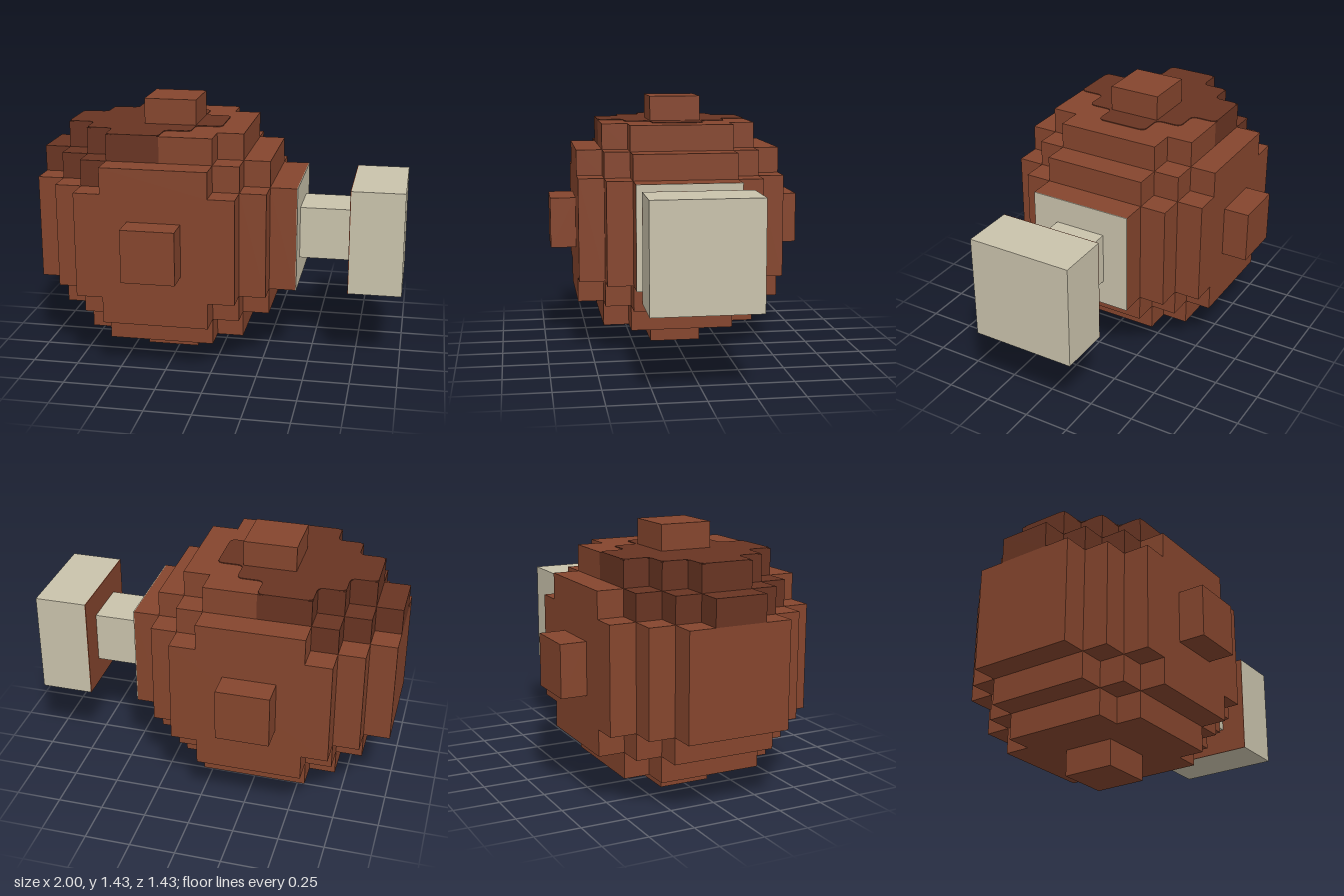
import * as THREE from 'three';

const U = 1 / 7;          // one block
const T = 0.03;           // thin plate thickness, in blocks
const CX = -2, CY = 5;    // centre of the ball, in blocks

export function createModel() {
  const group = new THREE.Group();
  const mat = (name, color) => new THREE.MeshStandardMaterial({ name, color });
  const brown = mat('roastBrown', 0x85452d);
  const dark = mat('darkGlaze', 0x683422);
  const bone = mat('bone', 0xc9c2ab);

  const add = (name, geometry, material) => {
    geometry.translate(CX, CY, 0);
    geometry.scale(U, U, U);
    const mesh = new THREE.Mesh(geometry, material);
    mesh.name = name;
    group.add(mesh);
  };

  // Box between two corners, measured from the ball centre
  const box = (name, material, [x0, x1], [y0, y1], [z0, z1]) => {
    const g = new THREE.BoxGeometry(x1 - x0, y1 - y0, z1 - z0);
    g.translate((x0 + x1) / 2, (y0 + y1) / 2, (z0 + z1) / 2);
    add(name, g, material);
  };

  // Stepped slab, mirrored in z; rows are [xMin, xMax, zReach] with growing zReach
  const slab = (name, material, y0, y1, rows, round = 0) => {
    const left = [], right = [];
    rows.forEach(([a, b, z], i) => {
      for (const [list, x] of [[left, a], [right, b]]) {
        if (i > 0 && x !== list[list.length - 1].x) list.push(new THREE.Vector2(x, rows[i - 1][2]));
        list.push(new THREE.Vector2(x, z));
      }
    });
    const half = [...left, ...right.reverse()];
    const pts = [...half, ...half.map((p) => new THREE.Vector2(p.x, -p.y)).reverse()];
    let shape = new THREE.Shape(pts);
    if (round > 0) {
      shape = new THREE.Shape();
      const toward = (p, q) => p.clone().add(q.clone().sub(p).setLength(round));
      pts.forEach((p, i) => {
        const s = toward(p, pts[(i + pts.length - 1) % pts.length]);
        const e = toward(p, pts[(i + 1) % pts.length]);
        if (i === 0) shape.moveTo(s.x, s.y); else shape.lineTo(s.x, s.y);
        shape.quadraticCurveTo(p.x, p.y, e.x, e.y);
      });
      shape.closePath();
    }
    const g = new THREE.ExtrudeGeometry(shape, { depth: y1 - y0, bevelEnabled: false, curveSegments: 5 });
    g.rotateX(-Math.PI / 2);
    g.translate(0, y0, 0);
    add(name, g, material);
  };

  // Ball of stepped layers, bottom to top
  slab('bodyBottom', brown, -4, -3, [[-3, 3, 2], [-2, 2, 3]]);
  slab('bodyLower', brown, -3, -2, [[-4, 4, 2], [-3, 3, 3], [-2, 2, 4]]);
  slab('bodyMiddle', brown, -2, 2, [[-5, 5, 2], [-4, 4, 3], [-3, 3, 4]]);
  slab('bodyUpper', brown, 2, 3, [[-2, 4, 2], [-2, 3, 3], [-2, 2, 4]]);
  slab('bodyTop', brown, 3, 4, [[0, 3, 2], [0, 2, 3]]);

  // Dark glaze over the top and the end away from the bone
  slab('glazeUpper', dark, 2, 3, [[-5, -2, 1], [-4, -2, 2], [-3, -2, 3]]);
  slab('glazeTop', dark, 3, 4, [[-4, 0, 1], [-3, 0, 2], [-2, 0, 3]]);
  slab('glazeEdge', dark, 4, 4 + T, [[-4, 2, 1], [-3, 1, 2], [-2, 0, 3]], 0.25);

  // Square knobs on top, bottom, front and back
  for (const s of [[4, 5], [-5, -4]]) {
    box(s[0] > 0 ? 'topKnob' : 'bottomKnob', brown, [-1, 1], s, [-1, 1]);
    box(s[0] > 0 ? 'frontKnob' : 'backKnob', brown, [-1, 1], [-1, 1], s);
  }

  // Bone: socket plate, shaft and end block with a brown inner face
  box('boneSocket', bone, [5, 5 + T], [-2, 2], [-2, 2]);
  box('boneShaft', bone, [5, 7], [-1, 1], [-1, 1]);
  box('boneEnd', bone, [7, 9], [-2, 2], [-2, 2]);
  box('boneEndInnerFace', brown, [7 - T, 7], [-2, 2], [-2, 2]);

  return group;
}
